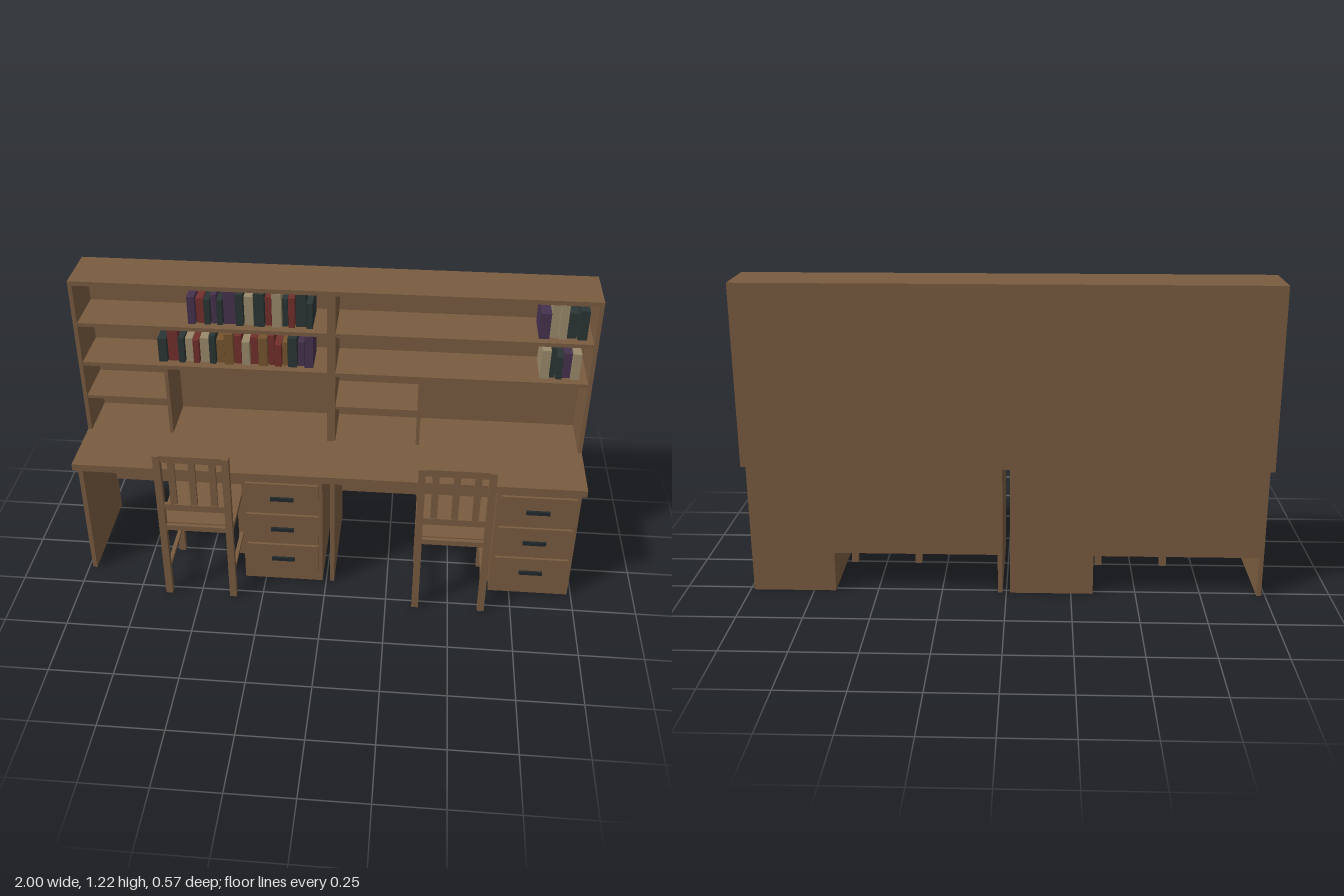
import * as THREE from 'three';

const mat = (name, color) => {
  const m = new THREE.MeshStandardMaterial({ color });
  m.name = name;
  return m;
};
const wood = mat('wood', 0x7a5c40);
const handleBlack = mat('handleBlack', 0x20282b);
const bookColors = {
  p: mat('bookPurple', 0x46324f),
  r: mat('bookRed', 0x73302c),
  d: mat('bookDark', 0x2b3535),
  c: mat('bookCream', 0x9a8a6b),
  b: mat('bookBrown', 0x77552f),
};

// Box given by its extents along each axis
function box(parent, name, [x0, x1], [y0, y1], [z0, z1], material = wood) {
  const mesh = new THREE.Mesh(new THREE.BoxGeometry(x1 - x0, y1 - y0, z1 - z0), material);
  mesh.position.set((x0 + x1) / 2, (y0 + y1) / 2, (z0 + z1) / 2);
  mesh.name = name;
  parent.add(mesh);
  return mesh;
}

function group(parent, name, x = 0) {
  const g = new THREE.Group();
  g.name = name;
  g.position.x = x;
  parent.add(g);
  return g;
}

// Desk base: end panel, modesty panel and a pedestal with three drawers
function addBase(parent, cx) {
  const g = group(parent, 'deskBase', cx);
  const depth = [-0.27, 0.158];
  box(g, 'endPanel', [-0.485, -0.467], [0, 0.515], depth);
  box(g, 'modestyPanel', [-0.467, 0.165], [0.16, 0.515], [-0.27, -0.252]);
  box(g, 'pedestal', [0.165, 0.485], [0, 0.515], depth);
  for (const y of [0.045, 0.198, 0.35]) {
    box(g, 'drawerFront', [0.18, 0.47], [y, y + 0.14], [0.158, 0.168]);
    box(g, 'drawerHandle', [0.28, 0.372], [y + 0.064, y + 0.079], [0.168, 0.178], handleBlack);
  }
}

// Shelves inside one bay of the hutch
function addShelves(parent, cx) {
  const g = group(parent, 'shelfBay', cx);
  const depth = [-0.273, -0.074], bay = [-0.484, 0.484];
  box(g, 'upperShelf', bay, [1.02, 1.036], depth);
  box(g, 'lowerShelf', bay, [0.846, 0.862], depth);
  box(g, 'cubbyDivider', [-0.16, -0.146], [0.545, 0.846], depth);
  box(g, 'cubbyShelf', [-0.484, -0.16], [0.695, 0.708], depth);
}

// Chair with its back towards +z
function addChair(parent, cx) {
  const g = group(parent, 'chair', cx);
  box(g, 'seat', [-0.145, 0.145], [0.325, 0.348], [-0.01, 0.259]);
  for (const s of [-1, 1]) {
    const side = (a, b) => (s < 0 ? [-b, -a] : [a, b]);
    box(g, 'backPost', side(0.118, 0.145), [0, 0.68], [0.26, 0.287]);
    box(g, 'frontLeg', side(0.118, 0.145), [0, 0.325], [-0.01, 0.017]);
    box(g, 'sideStretcher', side(0.124, 0.139), [0.105, 0.12], [0.017, 0.26]);
  }
  box(g, 'topRail', [-0.118, 0.118], [0.65, 0.68], [0.265, 0.281]);
  box(g, 'lowerRail', [-0.118, 0.118], [0.423, 0.452], [0.265, 0.281]);
  box(g, 'seatRail', [-0.118, 0.118], [0.325, 0.348], [0.265, 0.281]);
  for (const x of [-0.079, 0, 0.079])
    box(g, 'backSlat', [x - 0.013, x + 0.013], [0.452, 0.65], [0.267, 0.279]);
}

// Row of books: each is [colour key, width, height], in hundredths
function addBooks(parent, x, y, books) {
  const g = group(parent, 'bookRow');
  books.forEach(([key, w, h], i) => {
    const front = -0.105 - 0.006 * ((i * 2) % 4);
    box(g, 'book', [x, x + w / 100 - 0.003], [y, y + h / 100], [-0.25, front], bookColors[key]);
    x += w / 100;
  });
}

export function createModel() {
  const model = new THREE.Group();
  model.name = 'doubleDesk';

  box(model, 'desktop', [-1, 1], [0.515, 0.545], [-0.285, 0.18]);

  // Hutch carcass
  const hutch = group(model, 'hutch');
  box(hutch, 'hutchTop', [-1, 1], [1.197, 1.215], [-0.285, -0.07]);
  box(hutch, 'hutchBack', [-0.984, 0.984], [0.545, 1.197], [-0.285, -0.273]);
  for (const [a, b] of [[-1, -0.984], [-0.016, 0.016], [0.984, 1]])
    box(hutch, 'hutchUpright', [a, b], [0.545, 1.197], [-0.285, -0.07]);

  for (const cx of [-0.5, 0.5]) {
    addBase(model, cx);
    addShelves(hutch, cx);
    addChair(model, cx);
  }

  // Books
  const upper = 1.036, lower = 0.862;
  addBooks(model, -0.556, upper, [
    ['p', 3.2, 11.5], ['r', 3.2, 10.5], ['d', 2.6, 10.5], ['p', 2.4, 12.2], ['d', 2.4, 10.5],
    ['p', 4.9, 13.7], ['d', 3.1, 13.2], ['c', 3.8, 12], ['d', 4.3, 13.7], ['r', 2.7, 12],
    ['c', 3.9, 14.2], ['d', 2.4, 11.6], ['r', 2.7, 12.6], ['d', 4.3, 14.2], ['d', 2.6, 10.7],
  ]);
  addBooks(model, -0.684, lower, [
    ['d', 3.7, 10.2], ['r', 4.3, 13.9], ['d', 2.7, 10.7], ['c', 3.2, 10.2], ['r', 2.6, 10.2],
    ['c', 3.8, 10.6], ['d', 2.7, 12.2], ['b', 3.2, 10.2], ['b', 3.8, 13.4], ['r', 3.1, 12.3],
    ['c', 3.3, 10.2], ['r', 3.2, 11.8], ['b', 3.8, 12.3], ['r', 2.6, 12.8], ['r', 2.9, 9.6],
    ['b', 2.2, 10.2], ['d', 3.9, 12.8], ['p', 2.7, 10.7], ['p', 3.6, 13.9],
  ]);
  addBooks(model, 0.781, upper, [
    ['p', 4.2, 10.6], ['c', 3.1, 13.7], ['c', 3.3, 14.2], ['d', 3.8, 10.5], ['d', 3.8, 12.2],
  ]);
  addBooks(model, 0.802, lower, [
    ['c', 3.7, 12.3], ['d', 2.2, 12.8], ['d', 2.7, 9.7], ['p', 3.3, 10.7], ['c', 3.4, 11.2],
  ]);

  return model;
}
